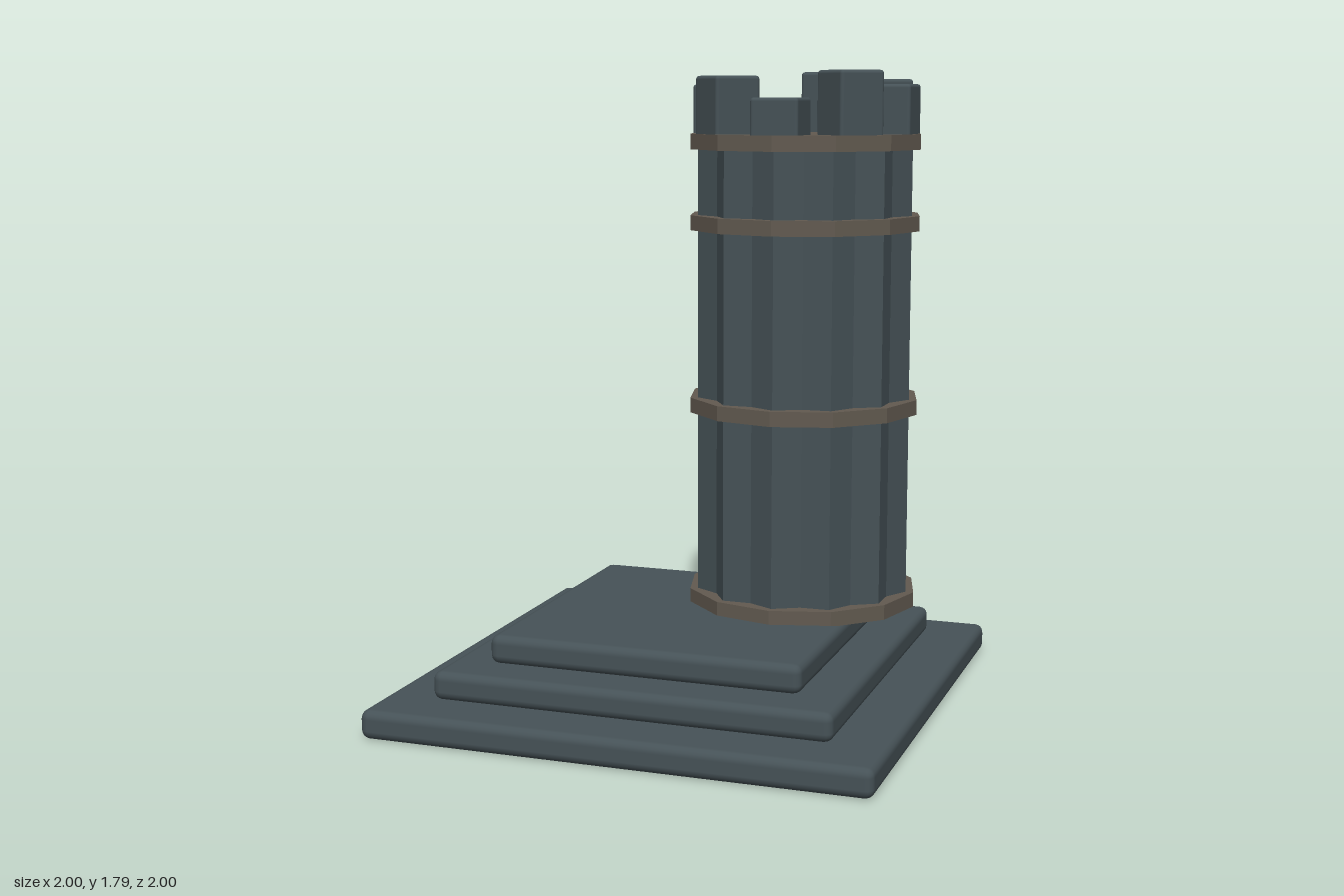
import * as THREE from 'three';
import { RoundedBoxGeometry } from 'three/addons/geometries/RoundedBoxGeometry.js';

const stone = new THREE.MeshStandardMaterial({ color: 0x465257 });
stone.name = 'slate stone';
const trim = new THREE.MeshStandardMaterial({ color: 0x625a50 });
trim.name = 'brown trim';

function add(parent, name, geometry, material, x = 0, y = 0, z = 0, turn = 0) {
  const mesh = new THREE.Mesh(geometry, material);
  mesh.name = name;
  mesh.position.set(x, y, z);
  mesh.rotation.y = turn;
  parent.add(mesh);
  return mesh;
}

// Upright prism whose corner radii alternate; corners are evenly spaced from startAngle
function prism(sides, radii, startAngle, height) {
  const points = [];
  for (let i = 0; i < sides; i++) {
    const a = startAngle + (i / sides) * Math.PI * 2;
    const r = radii[i % radii.length];
    points.push(new THREE.Vector2(Math.cos(a) * r, Math.sin(a) * r));
  }
  const geometry = new THREE.ExtrudeGeometry(new THREE.Shape(points), { depth: height, bevelEnabled: false });
  return geometry.rotateX(-Math.PI / 2);
}

export function createModel() {
  const model = new THREE.Group();
  model.name = 'steppedTower';

  // Three stacked diamond steps with rounded edges: [half diagonal, bottom, top]
  const steps = [[1, 0, 0.082], [0.793, 0.082, 0.163], [0.625, 0.163, 0.245]];
  const round = 0.025;
  steps.forEach(([reach, bottom, top], i) => {
    const side = 2 * ((reach - round) / Math.SQRT2 + round);
    add(model, 'step' + (i + 1), new RoundedBoxGeometry(side, top - bottom, side, 2, round), stone,
      0, (bottom + top) / 2, 0, Math.PI / 4);
  });

  // Small wedge of rubble against the middle step
  const chip = new THREE.CylinderGeometry(0.012, 0.035, 0.055, 4).toNonIndexed();
  chip.scale(1, 1, 0.5);
  chip.computeVertexNormals();
  add(model, 'rubbleChip', chip, stone, 0.345, 0.11, -0.46, -Math.PI / 4);

  // Fluted shaft, set off to one side
  const tower = new THREE.Group();
  tower.name = 'tower';
  tower.position.x = 0.355;
  model.add(tower);
  add(tower, 'flutedShaft', prism(24, [0.285, 0.316], 0, 1.36), stone, 0, 0.235, 0);

  // Twelve-sided bands; the highest is also the roof floor
  const bands = [[0.242, 0.285], [0.812, 0.855], [1.342, 1.385], [1.573, 1.617]];
  bands.forEach(([bottom, top], i) => {
    add(tower, 'band' + (i + 1), prism(12, [0.339], Math.PI / 12, top - bottom), trim, 0, bottom, 0);
  });

  // Seven uneven battlements, with a gap at the back; tops listed from front round to the left
  const tops = [1.795, 1.757, 1.772, 1.793, null, 1.757, 1.78, 1.72];
  const floor = 1.605;
  tops.forEach((top, i) => {
    if (top === null) return;
    const a = (i * Math.PI) / 4;
    add(tower, 'battlement' + (i + 1), new RoundedBoxGeometry(0.138, top - floor, 0.138, 2, 0.01), stone,
      Math.sin(a) * 0.253, (top + floor) / 2, Math.cos(a) * 0.253, a);
  });

  return model;
}
